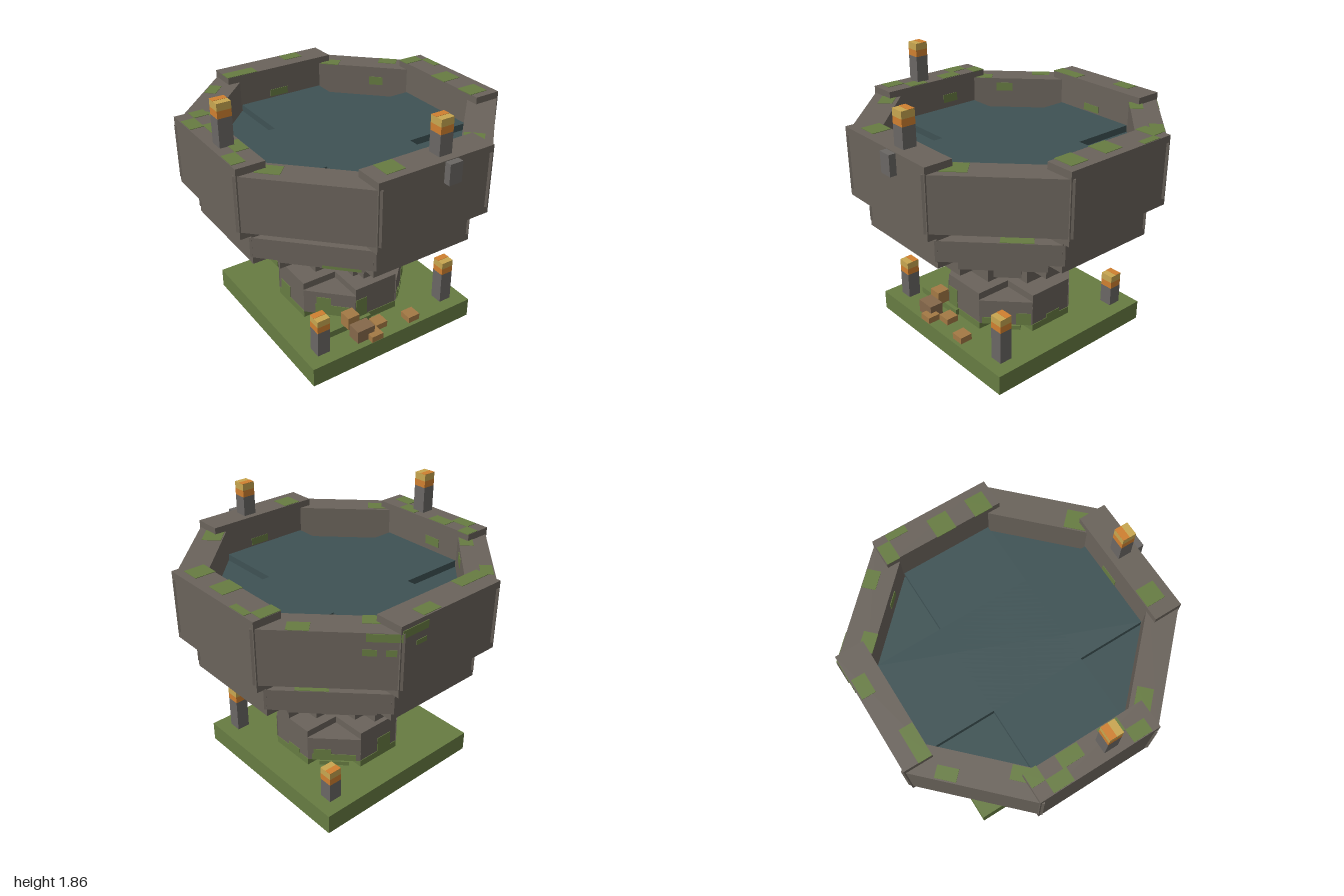
import * as THREE from 'three';

const mat = (name, color, side = THREE.FrontSide) => {
  const m = new THREE.MeshStandardMaterial({ color, side });
  m.name = name;
  return m;
};

export function createModel() {
  const stone = mat('stone', 0x6a635b);
  const moss = mat('moss', 0x677c42);
  const grass = mat('grass', 0x677c42, THREE.DoubleSide);
  const water = mat('water', 0x3e5254);
  const post = mat('post', 0x6a6764);
  const ember = mat('ember', 0xd08030);
  const flame = mat('flame', 0xc8a650);
  const crate = mat('crate', 0xa47a45);
  const darkCrate = mat('darkCrate', 0x85684a);

  const model = new THREE.Group();
  model.name = 'torchBasin';

  // box from its horizontal centre, bottom and top
  function box(parent, name, material, w, d, x, z, y0, y1) {
    const mesh = new THREE.Mesh(new THREE.BoxGeometry(w, y1 - y0, d), material);
    mesh.position.set(x, (y0 + y1) / 2, z);
    mesh.name = name;
    parent.add(mesh);
    return mesh;
  }

  // the octagonal parts share a centre slightly behind the origin
  const basin = new THREE.Group();
  basin.name = 'basin';
  basin.position.z = -0.02;
  model.add(basin);

  // one group per octagon side: local +z points outward, side 0 is the front
  const sides = [];
  for (let k = 0; k < 8; k++) {
    const g = new THREE.Group();
    g.name = 'side' + k;
    g.rotation.y = k * Math.PI / 4;
    basin.add(g);
    sides.push(g);
  }

  // solid octagon: two crossed bars plus two shorter diagonal bars
  function tier(name, material, r, half, diagHalf, y0, y1, inset) {
    for (let k = 0; k < 4; k++) {
      const diag = k % 2 === 1;
      const i = diag ? inset : 0;
      box(sides[k], name, material, 2 * (diag ? diagHalf : half), 2 * r, 0, 0, y0 + i, y1 - i);
    }
  }
  tier('foot', stone, 0.42, 0.165, 0.18, 0.14, 0.42, 0.05);
  tier('column', stone, 0.28, 0.093, 0.095, 0.42, 0.70, 0.05);
  tier('lowerBowl', stone, 0.648, 0.268, 0.28, 0.70, 0.887, 0.047);
  tier('middleBowl', stone, 0.88, 0.365, 0.38, 0.887, 1.12, 0.047);
  tier('water', water, 0.785, 0.32, 0.325, 1.12, 1.36, 0.047);

  // basin wall
  sides.forEach((g, k) => {
    const diag = k % 2 === 1;
    const i = diag ? 0.047 : 0;
    box(g, 'basinWall', stone, diag ? 0.84 : 0.826, 0.19, 0, 0.88, 1.12 + i, 1.58 - i);
  });

  // moss on the rim: x, z, width, depth, diagonal side or 0
  [
    [0.16, -0.94, 0.14, 0.09, 0], [-0.30, -0.852, 0.23, 0.09, 0],
    [-0.925, -0.27, 0.09, 0.14, 0], [-0.835, -0.145, 0.09, 0.15, 0],
    [-0.83, -0.385, 0.10, 0.09, 0], [-0.835, 0.14, 0.09, 0.14, 0],
    [-0.925, 0.275, 0.09, 0.13, 0], [0.85, -0.385, 0.14, 0.09, 0],
    [0.945, -0.275, 0.05, 0.14, 0], [0.85, 0, 0.14, 0.14, 0],
    [0.85, 0.275, 0.14, 0.13, 0], [-0.255, 0.835, 0.13, 0.13, 0],
    [-0.54, -0.79, 0.13, 0.08, 5], [-0.77, -0.43, 0.12, 0.09, 5],
    [0.41, -0.78, 0.13, 0.09, 3], [0.77, -0.56, 0.13, 0.09, 3],
    [-0.78, 0.42, 0.15, 0.10, 7], [0.43, 0.765, 0.16, 0.13, 1],
  ].forEach(([x, z, w, d, k]) => {
    const top = k ? 1.533 : 1.58;
    const m = box(basin, 'rimMoss', moss, w, d, x, z + 0.02, top - 0.002, top + 0.003);
    m.rotation.y = k * Math.PI / 4;
  });

  // moss on upright faces: side, sideways offset, outward distance, width, bottom, top
  [
    [0, -0.045, 0.28, 0.09, 0.56, 0.70], [0, 0.09, 0.648, 0.18, 0.84, 0.885],
    [0, -0.12, 0.42, 0.09, 0.19, 0.33], [2, 0.02, 0.42, 0.12, 0.19, 0.22],
    [4, 0.05, 0.42, 0.12, 0.19, 0.30], [6, -0.08, 0.42, 0.12, 0.19, 0.28],
    [7, 0.03, 0.42, 0.26, 0.19, 0.27], [7, -0.04, 0.42, 0.10, 0.27, 0.33],
    [1, 0.12, 0.42, 0.10, 0.19, 0.28], [1, -0.12, 0.42, 0.08, 0.19, 0.24],
    [3, 0.0, 0.42, 0.30, 0.19, 0.24], [3, -0.08, 0.42, 0.12, 0.24, 0.28],
    [5, 0.03, 0.42, 0.28, 0.19, 0.27],
    [7, 0.13, 0.648, 0.25, 0.745, 0.835], [6, 0.2, 0.648, 0.09, 0.70, 0.74],
    [3, 0.31, 0.975, 0.2, 1.48, 1.53], [3, 0.35, 0.975, 0.06, 1.39, 1.43],
    [3, 0.23, 0.975, 0.08, 1.39, 1.43],
    [4, -0.3, 0.975, 0.2, 1.50, 1.55], [4, -0.25, 0.975, 0.08, 1.42, 1.45],
    // inner faces of the wall
    [4, 0.02, 0.785, 0.14, 1.37, 1.42], [5, 0.1, 0.785, 0.12, 1.44, 1.50],
    [6, -0.1, 0.785, 0.12, 1.40, 1.46], [3, -0.1, 0.785, 0.10, 1.40, 1.46],
    [0, 0.05, 0.785, 0.14, 1.37, 1.42],
  ].forEach(([k, u, out, w, y0, y1]) => box(sides[k], 'wallMoss', moss, w, 0.008, u, out, y0, y1));

  // moss on the ledges and around the bottom of the foot
  box(sides[1], 'ledgeMoss', moss, 0.2, 0.09, 0.1, 0.83, 1.07, 1.076);
  box(sides[3], 'ledgeMoss', moss, 0.2, 0.09, -0.1, 0.83, 1.07, 1.076);
  tier('footMoss', moss, 0.424, 0.169, 0.1, 0.14, 0.19, 0.01);

  // turf block, open underneath
  const turf = box(model, 'turf', grass, 1.3, 1.3, 0, -0.018, 0, 0.14);
  const idx = Array.from(turf.geometry.index.array);
  idx.splice(18, 6);
  turf.geometry.setIndex(idx);
  turf.geometry.clearGroups();
  box(model, 'turfStep', grass, 0.4, 0.14, -0.26, 0.36, 0.14, 0.185);

  // torches: a post with an ember band and a two-tone flame tip
  function torch(x, z, y0, top) {
    const g = new THREE.Group();
    g.name = 'torch';
    g.position.set(x, 0, z);
    model.add(g);
    const s = 0.092;
    box(g, 'torchPost', post, s, s, 0, 0, y0, top - 0.094);
    box(g, 'torchEmber', ember, s, s, 0, 0, top - 0.094, top - 0.047);
    box(g, 'torchFlame', flame, s, s, 0, 0, top - 0.047, top);
    box(g, 'torchTip', ember, s, s / 2, 0, -s / 4, top, top + 0.002);
  }
  torch(-0.885, 0.075, 1.58, 1.857);
  torch(0.09, 0.855, 1.58, 1.81);
  torch(-0.512, 0.495, 0.14, 0.42);
  torch(0.508, 0.495, 0.14, 0.467);
  torch(0.508, -0.525, 0.14, 0.372);
  box(model, 'torchBracket', post, 0.092, 0.047, 0.09, 0.977, 1.44, 1.576);

  // small crates stacked in front of the foot
  box(model, 'crate', crate, 0.09, 0.09, -0.235, 0.435, 0.185, 0.28);
  box(model, 'largeCrate', darkCrate, 0.135, 0.1, -0.207, 0.535, 0.14, 0.235);
  [[-0.145, 0.585], [-0.05, 0.5], [0.18, 0.56]].forEach(([x, z]) =>
    box(model, 'crate', crate, 0.09, 0.09, x, z, 0.14, 0.185));

  return model;
}
